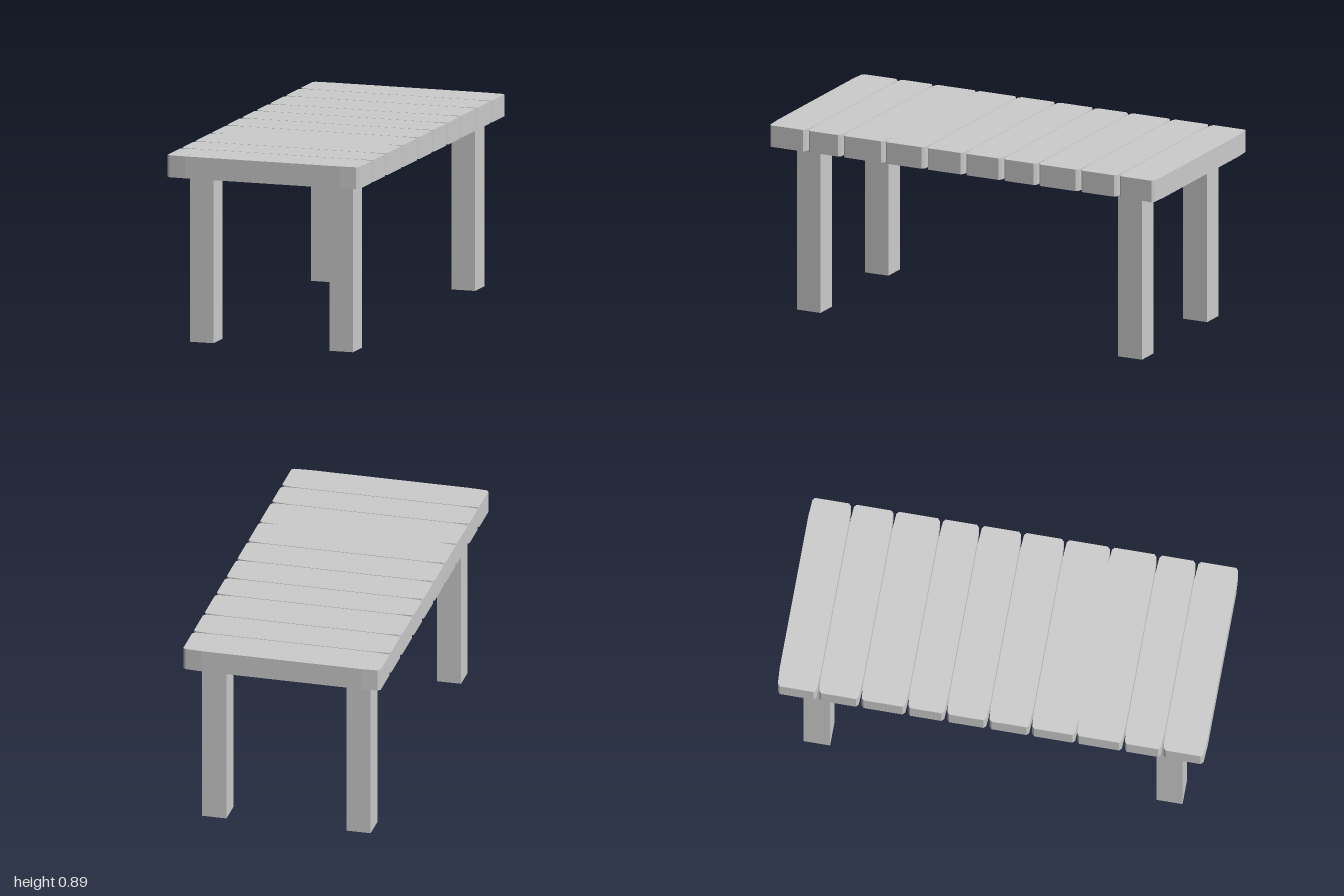
import * as THREE from 'three';

const material = new THREE.MeshStandardMaterial({ color: 0xcccccc, flatShading: true });

// Plank lying across x, between z0 and z1, with slightly narrowed, clipped ends
function makePlank(z0, z1) {
  const left = -0.47, right = 0.468, clip = 0.012, taper = 0.09;
  const near = 0.005, far = 0.016; // how far the side steps in towards the end
  const shape = new THREE.Shape([
    [left, z0 + far], [left + clip, z0 + near], [left + taper, z0],
    [right - taper, z0], [right - clip, z0 + near], [right, z0 + far],
    [right, z1 - far], [right - clip, z1 - near], [right - taper, z1],
    [left + taper, z1], [left + clip, z1 - near], [left, z1 - far],
  ].map(([x, z]) => new THREE.Vector2(x, z)));
  const geometry = new THREE.ExtrudeGeometry(shape, { depth: 0.103, bevelEnabled: false });
  geometry.rotateX(Math.PI / 2); // shape y becomes z, depth runs down from the top
  geometry.translate(0, 0.888, 0);
  return new THREE.Mesh(geometry, material);
}

// Square post from the ground to the underside of the planks
function makeLeg(x, z, depth) {
  const height = 0.785;
  const leg = new THREE.Mesh(new THREE.BoxGeometry(0.115, height, depth), material);
  leg.position.set(x, height / 2, z);
  return leg;
}

export function createModel() {
  const table = new THREE.Group();
  table.name = 'plankTable';

  // Table top: ten planks of uneven width with hairline gaps
  const top = new THREE.Group();
  top.name = 'tableTop';
  const seams = [-1, -0.808, -0.61, -0.392, -0.21, -0.013, 0.187, 0.4, 0.62, 0.802, 1];
  const gap = 0.002;
  for (let i = 0; i < seams.length - 1; i++) {
    const start = i === 0 ? -1 : seams[i] + (seams[i] === 0.4 ? 0 : gap);
    const end = i === 9 ? 1 : seams[i + 1] - (seams[i + 1] === 0.4 ? 0 : gap);
    const plank = makePlank(start, end);
    plank.name = `plank${i + 1}`;
    top.add(plank);
  }
  table.add(top);

  // Four legs, the back pair set slightly unevenly
  const legs = [
    ['frontLeftLeg', 0.343, 0.825, 0.122],
    ['frontRightLeg', -0.339, 0.825, 0.122],
    ['backLeftLeg', 0.343, -0.838, 0.125],
    ['backRightLeg', -0.339, -0.824, 0.125],
  ];
  for (const [name, x, z, depth] of legs) {
    const leg = makeLeg(x, z, depth);
    leg.name = name;
    table.add(leg);
  }
  return table;
}
